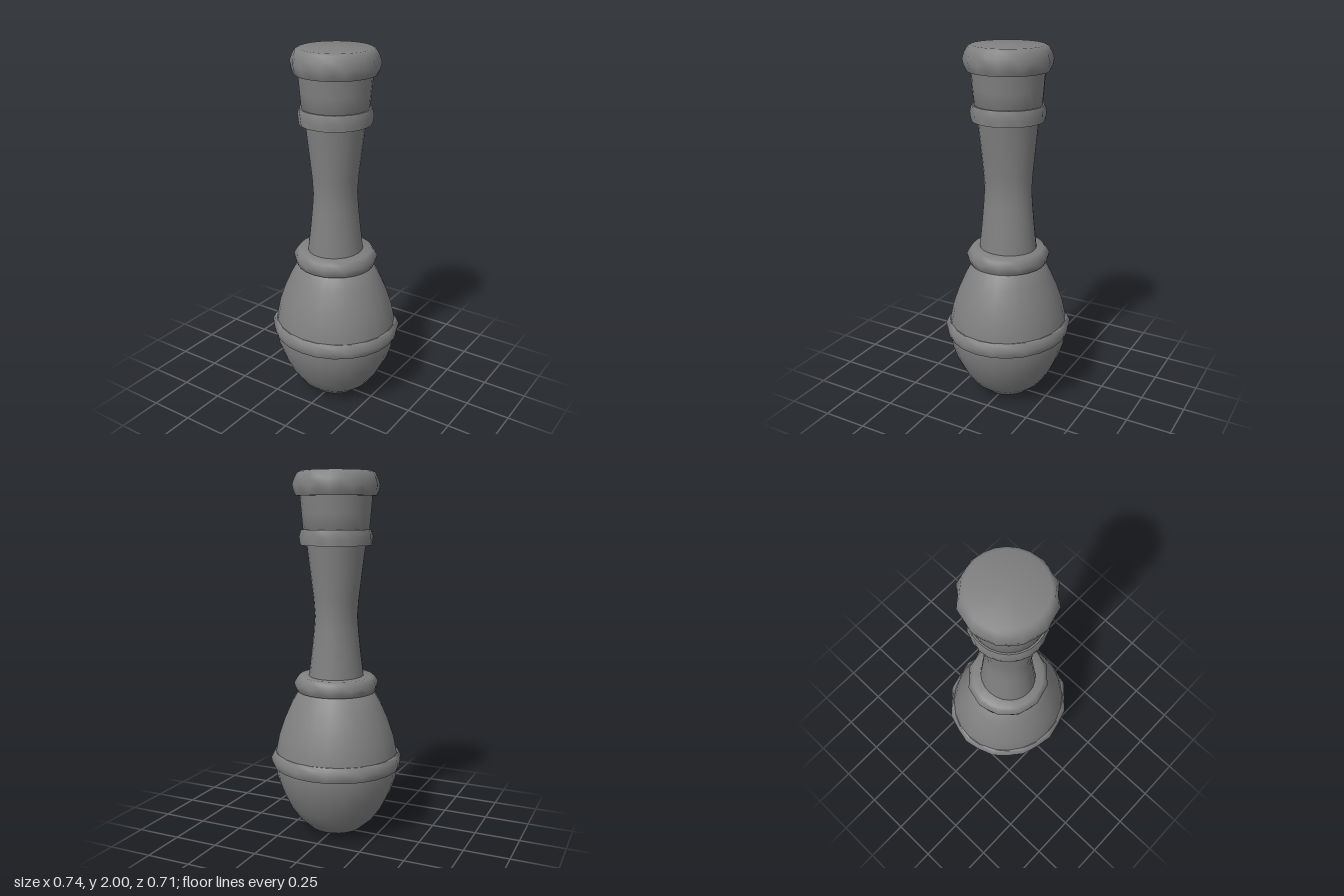
import * as THREE from 'three';
import { toCreasedNormals } from 'three/addons/utils/BufferGeometryUtils.js';

const material = new THREE.MeshStandardMaterial({ color: 0x808080 });
const LOBES = 12;

// Turned part from rows of [x radius, z radius, y, lobe depth], bottom to top.
function turned(name, rows, crease) {
  const geometry = new THREE.LatheGeometry(rows.map(([r, , y]) => new THREE.Vector2(r, y)), LOBES * 2);
  const p = geometry.attributes.position;
  for (let i = 0; i < p.count; i++) {
    const [rx, rz, y, lobe = 0] = rows[i % rows.length];
    const angle = (Math.floor(i / rows.length) / (LOBES * 2)) * Math.PI * 2;
    const wave = lobe * (Math.cos(angle * LOBES) - 1) / 2;
    p.setXYZ(i, (rx + wave) * Math.sin(angle), y + wave * 1.4, (rz + wave) * Math.cos(angle));
  }
  const mesh = new THREE.Mesh(toCreasedNormals(geometry, crease), material);
  mesh.name = name;
  return mesh;
}

// Hammered band: flat above and below, with a lumpy bulge around the outside.
function band(name, y0, y1, inner, rx, rz, inset) {
  const h = y1 - y0;
  return turned(name, [
    [inner, inner, y0],
    [rx - inset * 0.6, rz - inset * 0.6, y0],
    [rx - inset * 0.2, rz - inset * 0.2, y0 + h * 0.25, 0.007],
    [rx, rz, y0 + h * 0.55, 0.01],
    [rx - inset * 0.5, rz - inset * 0.5, y0 + h * 0.85, 0.004],
    [rx - inset, rz - inset, y1],
    [inner, inner, y1],
  ], 1.05);
}

export function createModel() {
  const group = new THREE.Group();
  group.name = 'bottle';
  group.add(
    // Egg-shaped body, a little wider than deep
    turned('body', [
      [0, 0, 0], [0.08, 0.08, 0.005], [0.15, 0.147, 0.025], [0.212, 0.207, 0.08],
      [0.266, 0.257, 0.155], [0.309, 0.296, 0.24], [0.336, 0.323, 0.32],
      [0.347, 0.332, 0.4], [0.342, 0.326, 0.47], [0.325, 0.305, 0.56],
      [0.295, 0.274, 0.65], [0.255, 0.235, 0.74], [0.21, 0.195, 0.815], [0.14, 0.14, 0.86],
    ], 1.2),
    // Waisted neck
    turned('neck', [
      [0.155, 0.165, 0.84], [0.15, 0.16, 0.9], [0.133, 0.148, 1.03], [0.12, 0.138, 1.15],
      [0.114, 0.133, 1.23], [0.121, 0.137, 1.32], [0.14, 0.151, 1.47], [0.16, 0.165, 1.63],
    ], 1.2),
    // Flared mouth under the cap
    turned('mouth', [[0.15, 0.15, 1.64], [0.178, 0.18, 1.68], [0.187, 0.188, 1.78], [0.197, 0.197, 1.9]], 1.2),
    band('bodyBand', 0.385, 0.467, 0.3, 0.371, 0.354, 0.024),
    band('neckCollar', 0.812, 0.9, 0.13, 0.235, 0.23, 0.03),
    band('mouthBand', 1.612, 1.695, 0.13, 0.2, 0.202, 0.012),
    // Closed cap with a lumpy, softly rounded rim
    turned('cap', [
      [0, 0, 1.87], [0.216, 0.216, 1.87], [0.229, 0.23, 1.897, 0.009], [0.235, 0.237, 1.93, 0.012],
      [0.224, 0.226, 1.962, 0.006], [0.207, 0.21, 1.992], [0.19, 0.193, 2], [0, 0, 2],
    ], 1.05),
  );
  return group;
}
